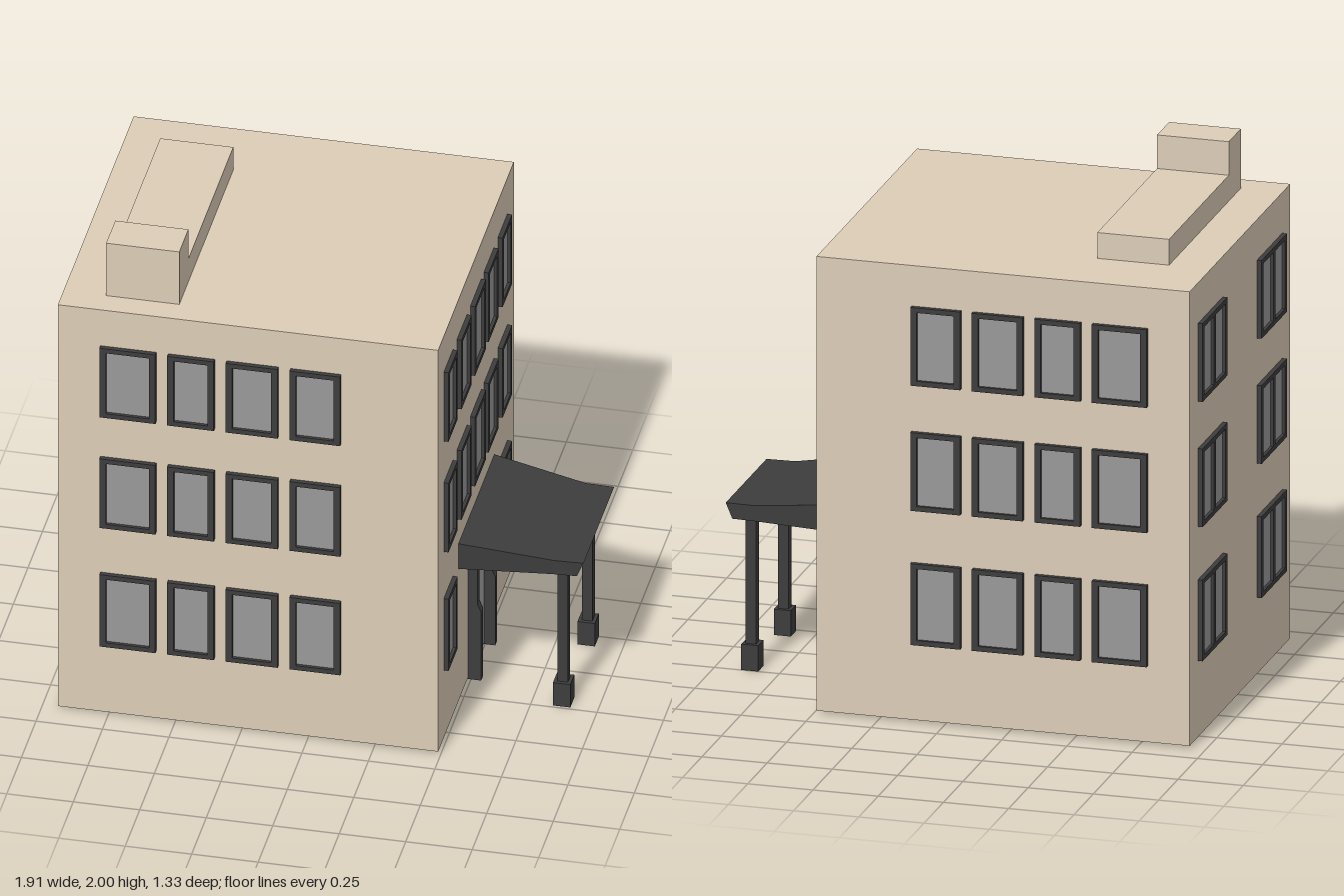
import * as THREE from 'three';

const material = (color) => new THREE.MeshStandardMaterial({ color });
const stone = material(0xdccdb7);
const dark = material(0x3d3d3d);
const glass = material(0x999999);
const doorGlass = material(0xa6a6a6);

// Box given by its lower and upper limits on each axis
function block(name, mat, [x0, x1], [y0, y1], [z0, z1]) {
  const mesh = new THREE.Mesh(new THREE.BoxGeometry(x1 - x0, y1 - y0, z1 - z0), mat);
  mesh.position.set((x0 + x1) / 2, (y0 + y1) / 2, (z0 + z1) / 2);
  mesh.name = name;
  return mesh;
}

function rectangle(Kind, x0, x1, y0, y1) {
  const r = new Kind();
  r.moveTo(x0, y0).lineTo(x1, y0).lineTo(x1, y1).lineTo(x0, y1).closePath();
  return r;
}

// Framed window on a wall plane: u runs along the wall, z points outwards
function makeWindow(u0, u1, y0, y1, panes = 1) {
  const group = new THREE.Group();
  group.name = 'window';
  const side = 0.024, rail = 0.019, depth = 0.018;
  const shape = rectangle(THREE.Shape, u0, u1, y0, y1);
  const paneWidth = (u1 - u0 - side * (panes + 1)) / panes;
  for (let i = 0; i < panes; i++) {
    const a = u0 + side + i * (paneWidth + side);
    shape.holes.push(rectangle(THREE.Path, a, a + paneWidth, y0 + rail, y1 - rail));
  }
  const frame = new THREE.Mesh(new THREE.ExtrudeGeometry(shape, { depth, bevelEnabled: false }), dark);
  frame.name = 'windowFrame';
  group.add(frame, block('windowGlass', glass, [u0 + 0.01, u1 - 0.01], [y0 + 0.01, y1 - 0.01], [0, 0.006]));
  return group;
}

// One wall's windows, turned and moved to its side of the building
function makeWall(name, angle, distance, rows) {
  const wall = new THREE.Group();
  wall.name = name;
  for (const { y, columns, panes } of rows)
    for (const [u0, u1] of columns) wall.add(makeWindow(u0, u1, y[0], y[1], panes));
  wall.rotation.y = angle;
  wall.position.set(Math.sin(angle) * distance, 0, Math.cos(angle) * distance);
  return wall;
}

// Canopy lofted from rectangular sections running out from the wall
function makeCanopy() {
  const sections = [
    { top: 0.49, bottom: 0.49, y: 0.70, z: [-0.315, 0.30] },
    { top: 0.84, bottom: 0.84, y: 0.65, z: [-0.274, 0.26] },
    { top: 0.95, bottom: 0.925, y: 0.65, z: [-0.27, 0.255] },
  ];
  const under = 0.59;
  const rings = sections.map(({ top, bottom, y, z }) => [
    [bottom, under, z[1]], [bottom, under, z[0]], [top, y, z[0]], [top, y, z[1]],
  ]);
  const points = [];
  const quad = (a, b, c, d) => points.push(...a, ...b, ...c, ...a, ...c, ...d);
  for (let i = 0; i + 1 < rings.length; i++)
    for (let j = 0; j < 4; j++) {
      const k = (j + 1) % 4;
      quad(rings[i][j], rings[i][k], rings[i + 1][k], rings[i + 1][j]);
    }
  quad(...rings[2]);
  quad(...[...rings[0]].reverse());
  const geometry = new THREE.BufferGeometry();
  geometry.setAttribute('position', new THREE.Float32BufferAttribute(points, 3));
  geometry.computeVertexNormals();
  const mesh = new THREE.Mesh(geometry, dark);
  mesh.name = 'canopy';
  return mesh;
}

function makePorch() {
  const porch = new THREE.Group();
  porch.name = 'porch';
  porch.add(makeCanopy());
  for (const z of [0.205, -0.215]) {
    porch.add(
      block('porchColumn', dark, [0.845, 0.885], [0.1, 0.59], [z - 0.02, z + 0.02]),
      block('columnBase', dark, [0.832, 0.897], [0, 0.1], [z - 0.034, z + 0.034]),
      block('soffitPatch', stone, [0.82, 0.92], [0.588, 0.592], [z - 0.045, z + 0.045]),
    );
  }
  return porch;
}

function makeDoor() {
  const door = new THREE.Group();
  door.name = 'door';
  // Jamb side profile, thicker towards the ground
  const profile = new THREE.Shape();
  profile.moveTo(0.485, 0.005).lineTo(0.54, 0.005).lineTo(0.54, 0.305).lineTo(0.527, 0.335);
  profile.lineTo(0.527, 0.555).lineTo(0.485, 0.555).closePath();
  const width = 0.034;
  const jambGeometry = new THREE.ExtrudeGeometry(profile, { depth: width, bevelEnabled: false });
  for (const z of [0.106, -0.136]) {
    const jamb = new THREE.Mesh(jambGeometry, dark);
    jamb.name = 'doorJamb';
    jamb.position.z = z;
    door.add(jamb);
  }
  door.add(
    block('doorLintel', dark, [0.485, 0.527], [0.54, 0.555], [-0.11, 0.11]),
    block('doorPanel', doorGlass, [0.485, 0.498], [0.01, 0.545], [-0.11, 0.11]),
  );
  return door;
}

export function createModel() {
  const model = new THREE.Group();
  model.name = 'building';

  // Main block and rooftop boxes
  model.add(
    block('mainBlock', stone, [-0.94, 0.49], [0.01, 1.77], [-0.648, 0.648]),
    block('roofHousing', stone, [-0.78, -0.505], [1.765, 1.87], [-0.375, 0.395]),
    block('chimney', stone, [-0.78, -0.505], [1.765, 2], [0.395, 0.55]),
  );

  // Window layout on each wall
  const floors = [[0.305, 0.62], [0.825, 1.128], [1.31, 1.613]];
  const mirror = (columns) => columns.map(([a, b]) => [-b, -a]);
  const front = [[-0.78, -0.57], [-0.525, -0.35], [-0.305, -0.11], [-0.065, 0.125]];
  const entrance = [[-0.552, -0.396], [-0.328, -0.155], [-0.098, 0.09], [0.135, 0.305], [0.375, 0.537]];
  const paired = [[-0.54, -0.22], [0.22, 0.545]];
  model.add(
    makeWall('frontWindows', 0, 0.648, floors.map((y) => ({ y, columns: front }))),
    makeWall('backWindows', Math.PI, 0.648, floors.map((y) => ({ y, columns: mirror(front) }))),
    makeWall('entranceSideWindows', Math.PI / 2, 0.49, floors.map((y, i) => ({
      y, columns: i === 0 ? [entrance[0], entrance[4]] : entrance,
    }))),
    makeWall('pairedWindows', -Math.PI / 2, 0.94, floors.map((y) => ({ y, columns: paired, panes: 2 }))),
  );

  model.add(makePorch(), makeDoor());
  return model;
}
